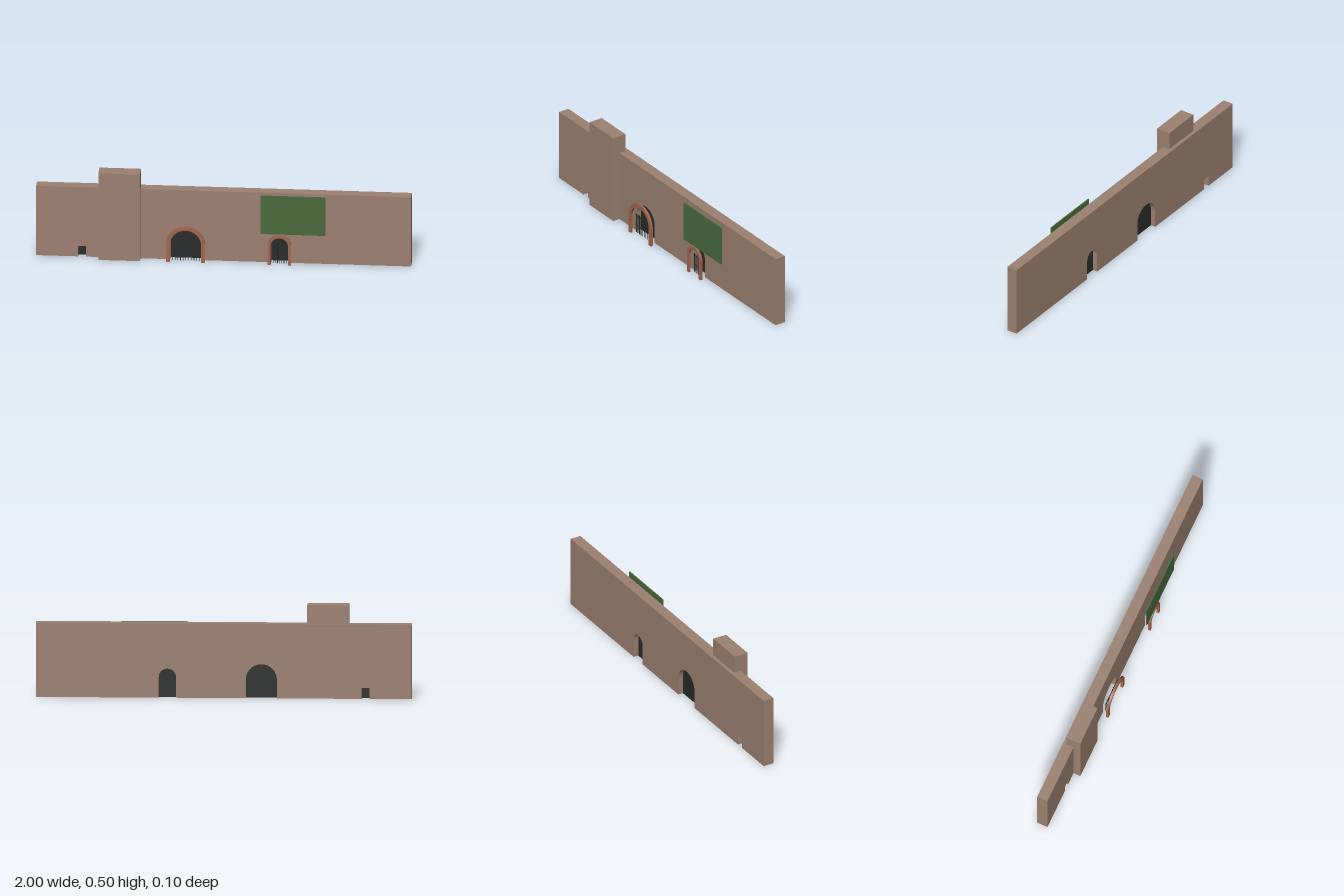
import * as THREE from 'three';

const stone = new THREE.MeshStandardMaterial({ color: 0x9c8171, name: 'stone' });
const brick = new THREE.MeshStandardMaterial({ color: 0xa1664f, name: 'brick' });
const green = new THREE.MeshStandardMaterial({ color: 0x4a6a3c, name: 'green' });
const dark = new THREE.MeshStandardMaterial({ color: 0x292a2a, name: 'dark' });

// Arched gates: centre, opening half width, trim half width, spring height
const gates = [
  { side: 'main', x: -0.2, inner: 0.083, outer: 0.104, spring: 0.1, bars: 11 },
  { side: 'small', x: 0.3, inner: 0.046, outer: 0.063, spring: 0.11, bars: 7 },
];
const hatch = { x: -0.755, w: 0.042, h: 0.06 };

function add(parent, name, geometry, material, x = 0, y = 0, z = 0) {
  const mesh = new THREE.Mesh(geometry, material);
  mesh.name = name;
  mesh.position.set(x, y, z);
  parent.add(mesh);
  return mesh;
}

// Box given by its limits on each axis
function block(parent, name, material, [x0, x1], [y0, y1], [z0, z1]) {
  return add(parent, name, new THREE.BoxGeometry(x1 - x0, y1 - y0, z1 - z0), material,
    (x0 + x1) / 2, (y0 + y1) / 2, (z0 + z1) / 2);
}

function extrude(shape, depth) {
  return new THREE.ExtrudeGeometry(shape, { depth, bevelEnabled: false, curveSegments: 20 });
}

// Continues an outline, from right foot over the arch to left foot
function traceArch(path, x, r, spring) {
  path.lineTo(x + r, 0);
  path.lineTo(x + r, spring);
  path.absarc(x, spring, r, 0, Math.PI, false);
  path.lineTo(x - r, 0);
}

export function createModel() {
  const model = new THREE.Group();
  model.name = 'gatedWall';

  // Long wall with openings cut up from the ground
  const outline = new THREE.Shape();
  outline.moveTo(-1, 0);
  outline.lineTo(-1, 0.4);
  outline.lineTo(1, 0.4);
  outline.lineTo(1, 0);
  for (const g of [...gates].reverse()) traceArch(outline, g.x, g.inner, g.spring);
  outline.lineTo(hatch.x + hatch.w / 2, 0);
  outline.lineTo(hatch.x + hatch.w / 2, hatch.h);
  outline.lineTo(hatch.x - hatch.w / 2, hatch.h);
  outline.lineTo(hatch.x - hatch.w / 2, 0);
  add(model, 'wall', extrude(outline, 0.06), stone, 0, 0, -0.05);

  block(model, 'tower', stone, [-0.665, -0.443], [0, 0.5], [-0.03, 0.05]);
  block(model, 'hangingPanel', green, [0.2, 0.547], [0.177, 0.397], [0.04, 0.047]);
  block(model, 'hatchDoor', dark,
    [hatch.x - hatch.w / 2, hatch.x + hatch.w / 2], [0, hatch.h], [-0.022, -0.018]);

  for (const g of gates) {
    const gate = new THREE.Group();
    gate.name = g.side + 'Gate';
    gate.position.x = g.x;
    model.add(gate);

    // Arched trim standing in front of the wall
    const trim = new THREE.Shape();
    trim.moveTo(-g.inner, 0);
    trim.lineTo(-g.inner, g.spring);
    trim.absarc(0, g.spring, g.inner, Math.PI, 0, true);
    trim.lineTo(g.inner, 0);
    traceArch(trim, 0, g.outer, g.spring);
    add(gate, 'archTrim', extrude(trim, 0.013), brick, 0, 0, 0.037);

    // Dark door leaf inside the opening
    const leaf = new THREE.Shape();
    leaf.moveTo(-g.inner, 0);
    traceArch(leaf, 0, g.inner, g.spring);
    add(gate, 'doorLeaf', extrude(leaf, 0.004), dark, 0, 0, -0.022);

    // Grille of upright bars and two cross rails
    const half = g.inner - 0.003;
    for (let i = 0; i < g.bars; i++) {
      const x = -half + 0.008 + (2 * half - 0.016) * i / (g.bars - 1);
      block(gate, 'grilleBar', dark, [x - 0.0015, x + 0.0015], [0, 0.112], [0.0185, 0.0215]);
    }
    for (const y of [0.045, 0.1])
      block(gate, 'grilleRail', dark, [-half, half], [y - 0.0015, y + 0.0015], [0.0185, 0.0215]);
  }
  return model;
}
